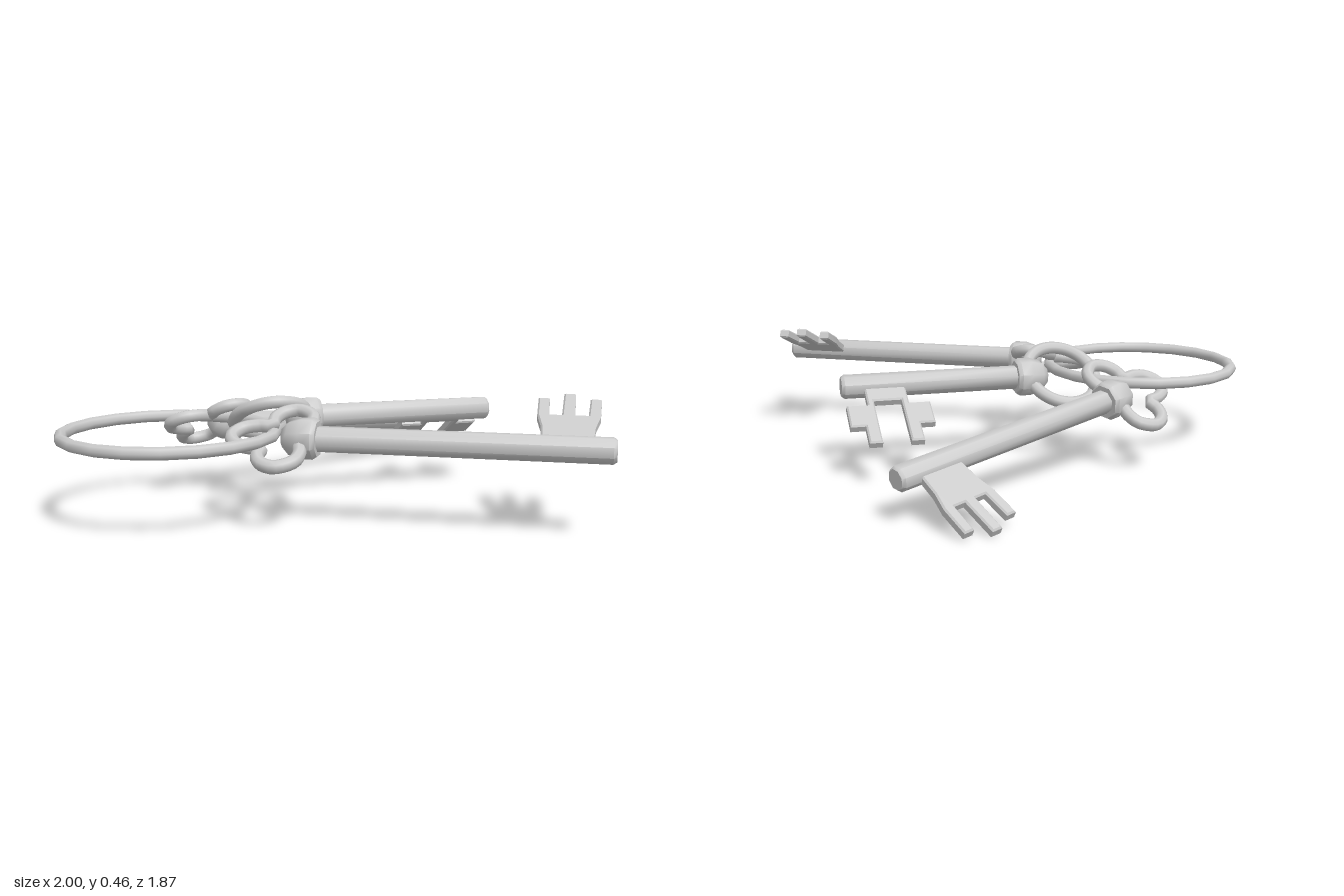
import * as THREE from 'three';
import { toCreasedNormals } from 'three/addons/utils/BufferGeometryUtils.js';

const material = new THREE.MeshStandardMaterial({ color: 0xcccccc });
const rad = THREE.MathUtils.degToRad;

function part(name, geometry) {
  const mesh = new THREE.Mesh(geometry, material);
  mesh.name = name;
  return mesh;
}

// Turned part lying along +x; the profile is [radius, x] pairs
function turned(name, profile) {
  const geometry = new THREE.LatheGeometry(profile.map(([r, x]) => new THREE.Vector2(r, x)), 8);
  geometry.rotateZ(-Math.PI / 2);
  return part(name, toCreasedNormals(geometry, rad(50)));
}

// Closed wire loop in the key's plane, from half an outline mirrored across the shaft
function bow(half) {
  const mirrored = half.slice().reverse().filter(([, v]) => v > 0).map(([x, v]) => [x, -v]);
  const points = [...half, ...mirrored].map(([x, v]) => new THREE.Vector3(x, 0, -v));
  const curve = new THREE.CatmullRomCurve3(points, true);
  return part('bow', new THREE.TubeGeometry(curve, 56, 0.025, 8, true));
}

// Flat toothed plate; outline is [distance from shaft end, distance from axis]
function bit(outline, length) {
  const b = 0.006;
  const shape = new THREE.Shape(outline.map(([x, v]) => new THREE.Vector2(length + x, v)));
  const geometry = new THREE.ExtrudeGeometry(shape, {
    depth: 0.024, bevelEnabled: true, bevelThickness: b, bevelSize: b, bevelOffset: -b, bevelSegments: 1,
  });
  geometry.translate(0, 0, -0.012);
  geometry.rotateX(-Math.PI / 2);
  return part('bit', toCreasedNormals(geometry, rad(30)));
}

// Three-lobed bow
const trefoil = [
  [0.0, 0.04], [0.015, 0.1], [0.005, 0.15], [-0.055, 0.187], [-0.11, 0.165], [-0.132, 0.12],
  [-0.13, 0.075], [-0.18, 0.072], [-0.235, 0.05], [-0.26, 0],
];
// Oval bow
const oval = [];
for (let i = 0; i <= 8; i++) {
  const a = (i / 8) * Math.PI;
  oval.push([-0.137 + 0.14 * Math.cos(a), i % 8 ? 0.17 * Math.sin(a) : 0]);
}

// Three-toothed comb with slightly flared sides
const comb = [
  [-0.255, 0.02], [-0.262, 0.12], [-0.278, 0.19], [-0.28, 0.305], [-0.24, 0.305], [-0.236, 0.194],
  [-0.192, 0.194], [-0.19, 0.34], [-0.148, 0.34], [-0.146, 0.194],
  [-0.1, 0.194], [-0.096, 0.305], [-0.056, 0.305], [-0.058, 0.19], [-0.074, 0.12], [-0.08, 0.02],
];
// Stepped plate with an open slot between two feet, mirrored about its middle
const stepHalf = [
  [0.08, 0.02], [0.08, 0.125], [0.162, 0.125], [0.162, 0.24], [0.104, 0.24],
  [0.104, 0.33], [0.054, 0.33], [0.054, 0.105],
];
const stepped = [
  ...stepHalf.map(([x, v]) => [-0.166 - x, v]),
  ...stepHalf.slice().reverse().map(([x, v]) => [-0.166 + x, v]),
];

// One key: shaft along +x, bit towards -z, origin inside the collar
function makeKey({ name, length, loop, teeth, position, yaw, pitch, roll }) {
  const key = new THREE.Group();
  key.name = name;
  key.add(turned('shaft', [
    [0, 0], [0.047, 0], [0.047, length - 0.012], [0.038, length], [0, length],
  ]));
  key.add(turned('collar', [
    [0, -0.07], [0.035, -0.07], [0.062, -0.045], [0.076, 0], [0.076, 0.045], [0.066, 0.06], [0, 0.06],
  ]));
  key.add(bow(loop), bit(teeth, length));
  key.position.set(...position);
  key.rotation.set(rad(roll), rad(yaw), rad(pitch), 'YZX');
  return key;
}

export function createModel() {
  const model = new THREE.Group();
  model.name = 'keyRing';

  // Large ring carrying the keys
  const ring = part('ring', new THREE.TorusGeometry(0.387, 0.023, 8, 20));
  ring.rotation.x = Math.PI / 2;
  ring.position.set(-0.59, 0.315, 0.53);
  model.add(ring);

  model.add(
    makeKey({
      name: 'frontKey', length: 1.09, loop: trefoil, teeth: comb,
      position: [-0.09, 0.315, 0.53], yaw: 0, pitch: 0, roll: 22.5,
    }),
    makeKey({
      name: 'middleKey', length: 0.765, loop: oval, teeth: stepped,
      position: [-0.19, 0.325, 0.125], yaw: 28.7, pitch: 0, roll: -29.5,
    }),
    makeKey({
      name: 'backKey', length: 1.07, loop: trefoil, teeth: comb,
      position: [-0.545, 0.275, 0.035], yaw: 54.7, pitch: -6, roll: -29,
    }),
  );
  return model;
}
